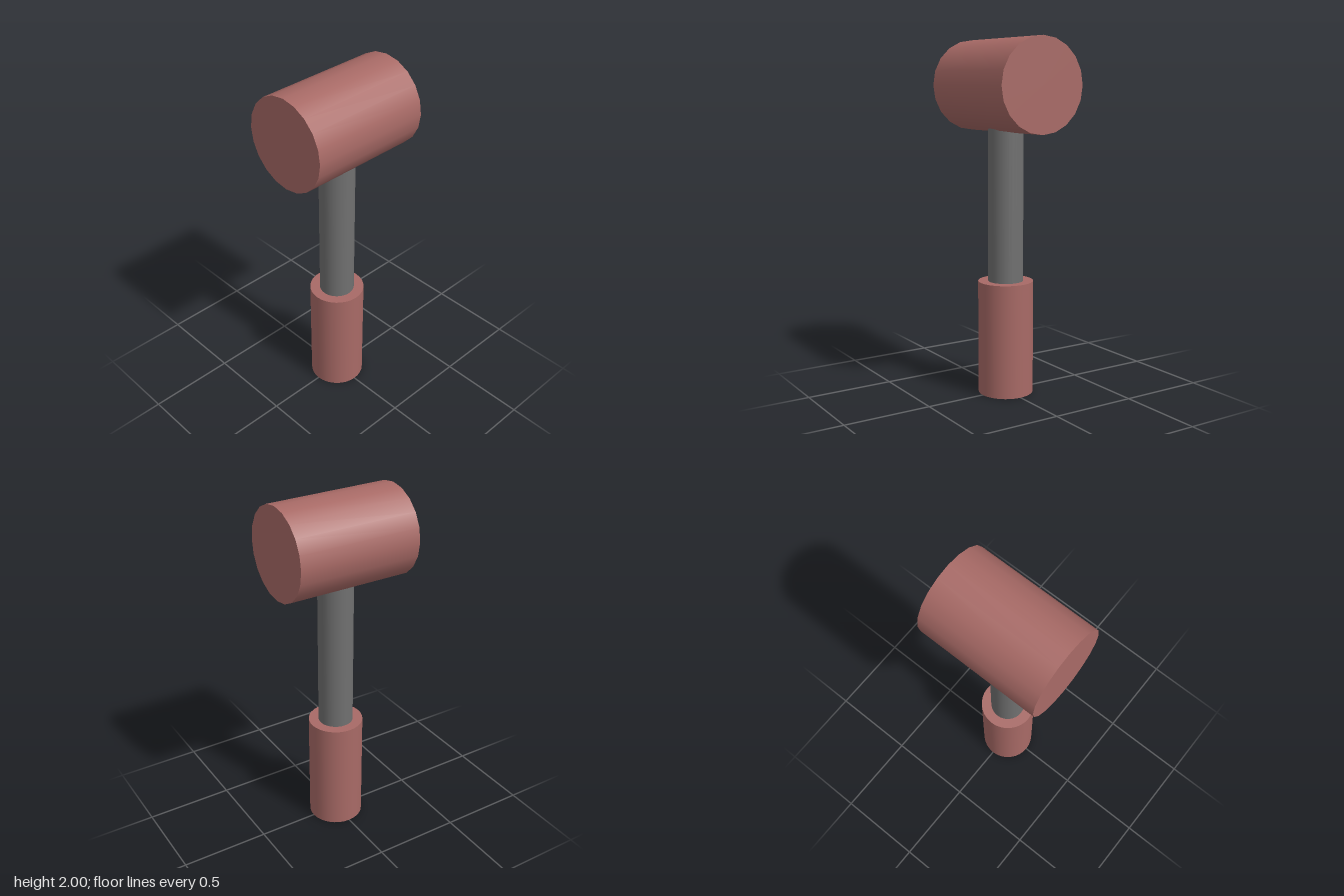
import * as THREE from 'three';

const SIDES = 16;

export function createModel() {
  const group = new THREE.Group();
  const red = new THREE.MeshStandardMaterial({ color: 0xa86a66 });
  const grey = new THREE.MeshStandardMaterial({ color: 0x707070 });

  // Smooth-sided capped cylinder, centred at height y
  function addCylinder(name, radius, length, y, material, sides) {
    const mesh = new THREE.Mesh(new THREE.CylinderGeometry(radius, radius, length, sides), material);
    mesh.name = name;
    mesh.position.y = y;
    group.add(mesh);
    return mesh;
  }

  // Grip at the bottom, shaft running from it up into the head
  addCylinder('grip', 0.156, 0.648, 0.324, red, 32);
  addCylinder('shaft', 0.099, 1.2, 1.1, grey, 32);

  // Head lying along x
  const head = addCylinder('head', 0.257, 0.714, 1.743, red, 20);
  head.rotation.z = Math.PI / 2;

  return group;
}
